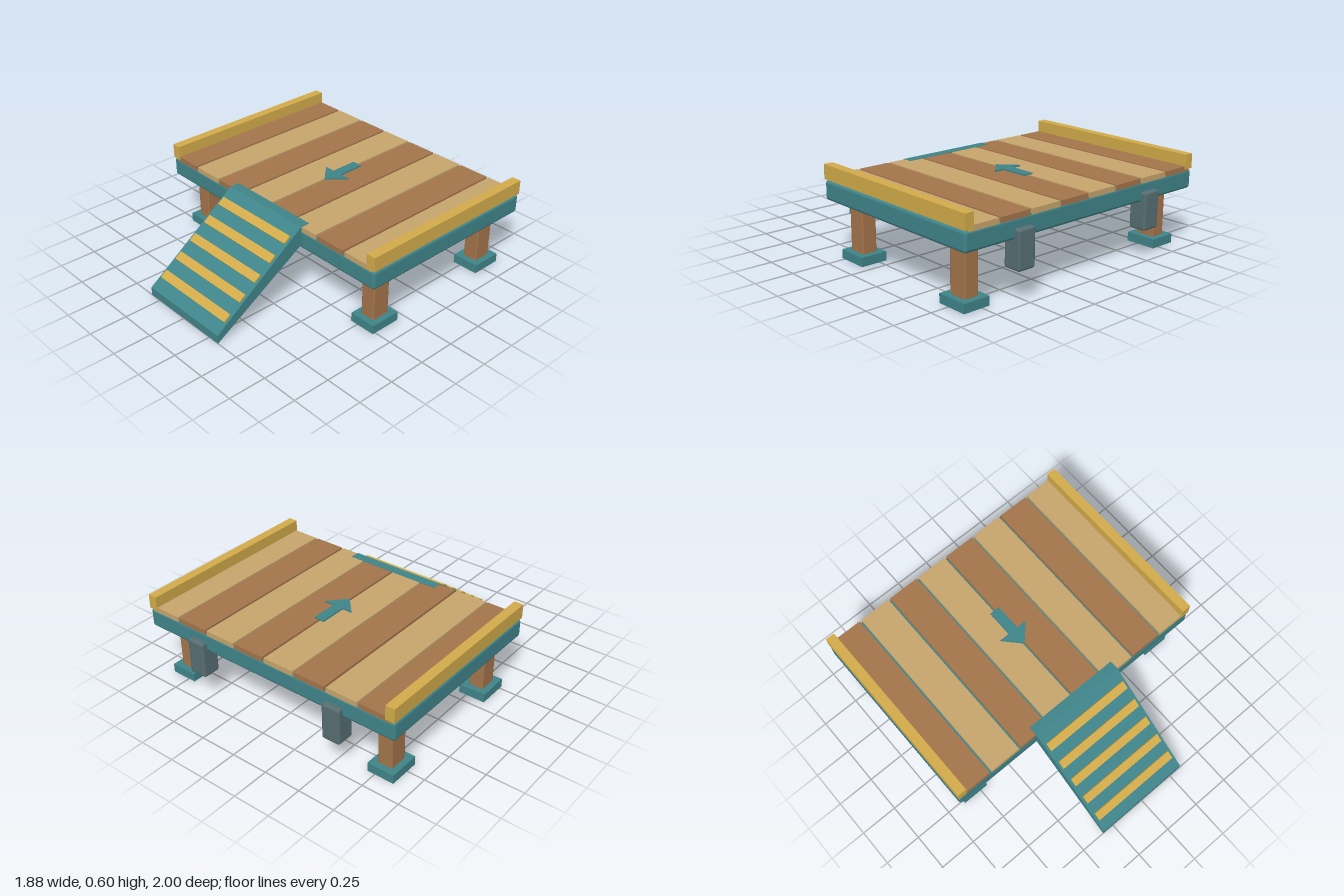
import * as THREE from 'three';
import { RoundedBoxGeometry } from 'three/addons/geometries/RoundedBoxGeometry.js';

const paint = (name, color) => {
  const m = new THREE.MeshStandardMaterial({ color });
  m.name = name;
  return m;
};

export function createModel() {
  const teal = paint('teal', 0x3f848a);
  const tan = paint('light wood', 0xc6a46c);
  const brown = paint('brown wood', 0xa3744b);
  const yellow = paint('yellow', 0xd2ab4a);
  const grey = paint('slate grey', 0x566e72);

  const model = new THREE.Group();
  model.name = 'loadingPlatform';

  const add = (name, geometry, material, x = 0, y = 0, z = 0) => {
    const mesh = new THREE.Mesh(geometry, material);
    mesh.name = name;
    mesh.position.set(x, y, z);
    model.add(mesh);
    return mesh;
  };
  const box = (w, h, d) => new THREE.BoxGeometry(w, h, d);
  const rounded = (w, h, d, r) => new RoundedBoxGeometry(w, h, d, 2, r);
  const polygon = (points) => new THREE.Shape(points.map(([x, y]) => new THREE.Vector2(x, y)));

  // Deck frame with alternating planks
  const deckZ = -0.31;
  add('deckFrame', rounded(1.88, 0.125, 1.306, 0.02), teal, 0, 0.4375, deckZ);
  for (let i = 0; i < 8; i++) {
    add('plank', box(0.216, 0.035, 1.3), i % 2 ? tan : brown, (i - 3.5) * 0.23, 0.5075, deckZ);
  }

  // Side rails, legs with feet, and rear bumpers
  for (const side of [-1, 1]) {
    add('sideRail', box(0.062, 0.095, 1.31), yellow, side * 0.909, 0.5525, deckZ);
    for (const z of [0.166, -0.78]) {
      add('leg', rounded(0.102, 0.4, 0.128, 0.01), brown, side * 0.79, 0.2, z);
      add('foot', box(0.182, 0.059, 0.21), teal, side * 0.79, 0.0305, z);
    }
    add('rearBumper', rounded(0.128, 0.245, 0.123, 0.016), grey, side * 0.524, 0.318, -0.938);
  }

  // Ramp: side profile in (z, y), extruded across x
  const rampWidth = 0.666;
  const profile = polygon([[1, 0], [1, 0.055], [0.345, 0.527], [0.28, 0.527], [0.28, 0.44]]);
  const rampGeometry = new THREE.ExtrudeGeometry(profile, { depth: rampWidth, bevelEnabled: false });
  rampGeometry.rotateY(-Math.PI / 2);
  add('ramp', rampGeometry, teal, rampWidth / 2).geometry.scale(1, 1, 1);

  // Cleats set into the sloping face
  const slope = (0.527 - 0.055) / (1 - 0.345);
  for (let i = 0; i < 5; i++) {
    const z = 0.4355 + i * 0.1178;
    const cleat = add('rampCleat', box(0.63, 0.022, 0.058), yellow, 0, 0.055 + slope * (1 - z), z);
    cleat.rotation.x = Math.atan(slope);
  }

  // Direction arrow lying on the deck, pointing to the ramp
  const arrow = polygon([
    [-0.035, 0.458], [-0.035, 0.275], [-0.105, 0.275], [0, 0.162],
    [0.105, 0.275], [0.035, 0.275], [0.035, 0.458],
  ]);
  const arrowGeometry = new THREE.ExtrudeGeometry(arrow, { depth: 0.009, bevelEnabled: false });
  arrowGeometry.rotateX(-Math.PI / 2);
  add('deckArrow', arrowGeometry, teal, 0, 0.525, 0);

  return model;
}
